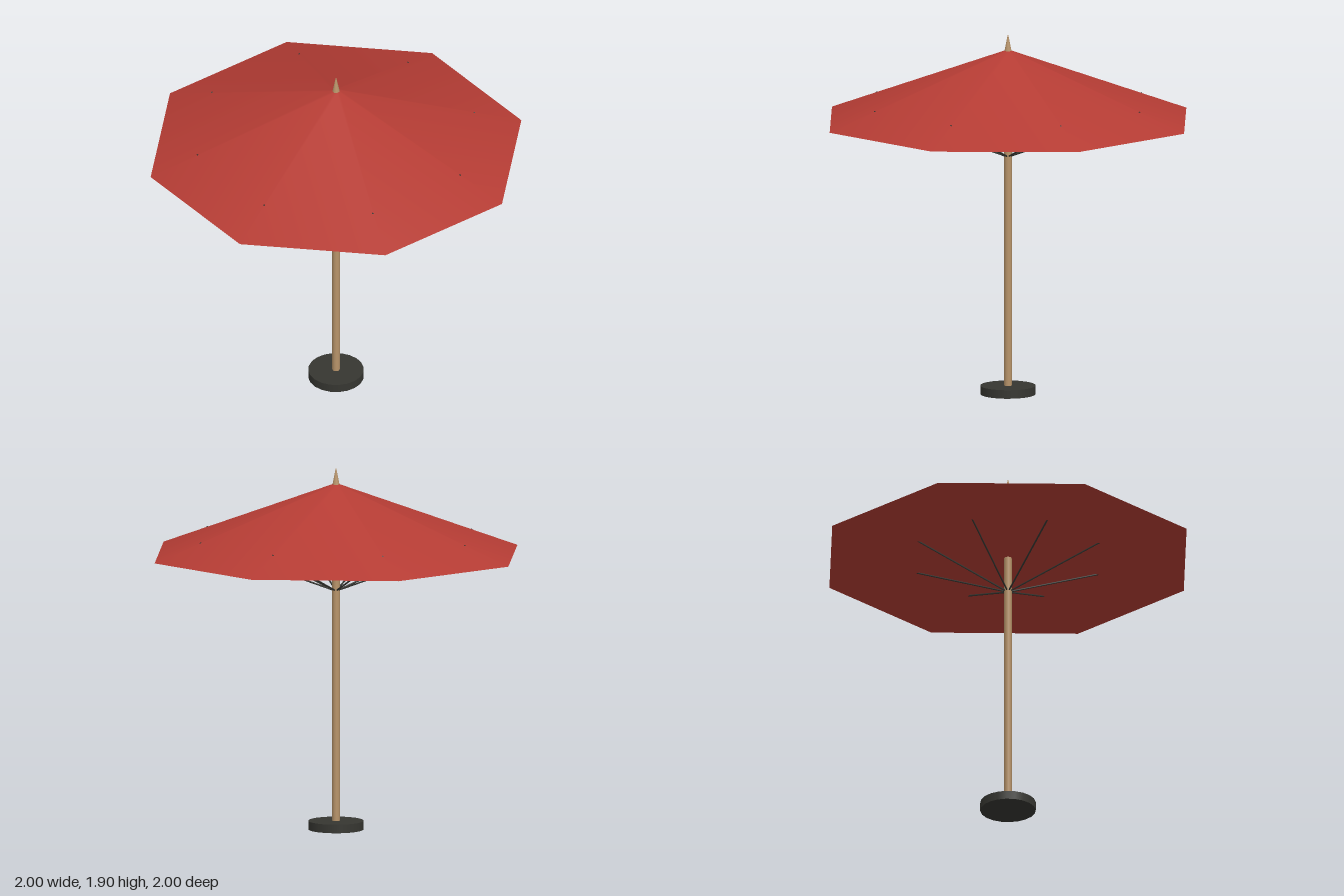
import * as THREE from 'three';

const canopyRed = new THREE.MeshStandardMaterial({ name: 'canopyRed', color: 0xb53c34 });
const wood = new THREE.MeshStandardMaterial({ name: 'wood', color: 0xb8946a });
const darkMetal = new THREE.MeshStandardMaterial({ name: 'darkMetal', color: 0x363631 });

// Upright round part standing between two heights
function upright(name, rTop, rBottom, y0, y1, sides, material) {
  const mesh = new THREE.Mesh(new THREE.CylinderGeometry(rTop, rBottom, y1 - y0, sides), material);
  mesh.position.y = (y0 + y1) / 2;
  mesh.name = name;
  return mesh;
}

// Thin rod between two points
function rod(name, a, b, radius, material) {
  const dir = b.clone().sub(a);
  const mesh = new THREE.Mesh(new THREE.CylinderGeometry(radius, radius, dir.length(), 6), material);
  mesh.position.copy(a).add(b).multiplyScalar(0.5);
  mesh.quaternion.setFromUnitVectors(new THREE.Vector3(0, 1, 0), dir.normalize());
  mesh.name = name;
  return mesh;
}

export function createModel() {
  const model = new THREE.Group();
  model.name = 'parasol';

  model.add(upright('base', 0.145, 0.145, 0, 0.045, 20, darkMetal));
  model.add(upright('pole', 0.02, 0.02, 0.045, 1.8, 12, wood));

  // Closed eight-sided canopy, corners on the axes
  model.add(upright('canopy', 0.02, 1, 1.45, 1.818, 8, canopyRed));
  model.add(upright('finial', 0.002, 0.02, 1.815, 1.9, 8, wood));

  // Struts from the pole out to the canopy
  const ribs = new THREE.Group();
  ribs.name = 'ribs';
  for (let i = 0; i < 8; i++) {
    const a = (i * Math.PI) / 4;
    const hub = new THREE.Vector3(0, 1.256, 0);
    const tip = new THREE.Vector3(0.75 * Math.sin(a), 1.545, 0.75 * Math.cos(a));
    ribs.add(rod('rib', hub, tip, 0.0045, darkMetal));
  }
  model.add(ribs);

  return model;
}
